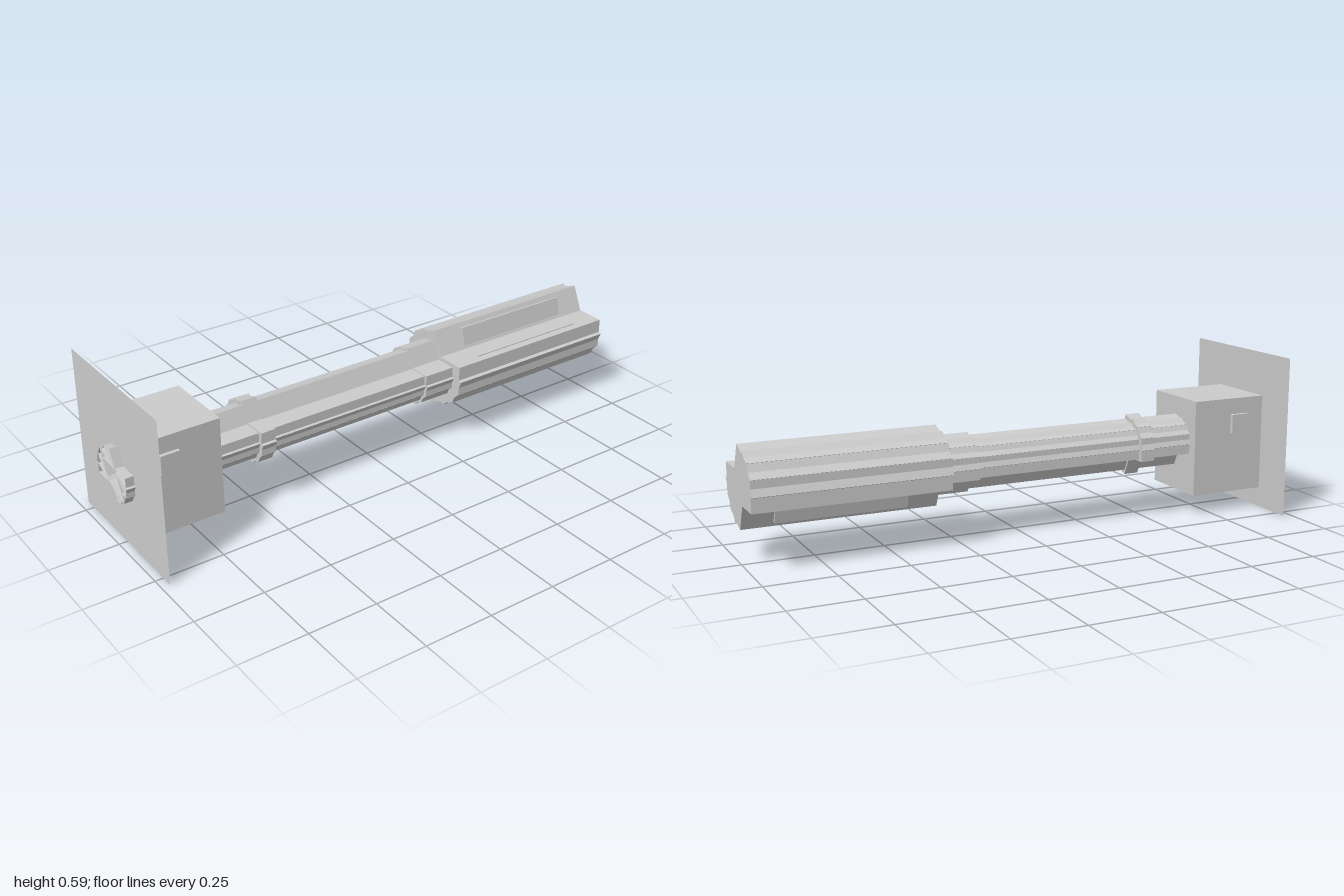
import * as THREE from 'three';

const AXIS_X = -0.003;
const AXIS_Y = 0.265;

export function createModel() {
  const model = new THREE.Group();
  const grey = new THREE.MeshStandardMaterial({ color: 0xcccccc, flatShading: true });
  grey.name = 'plain grey';
  grey.side = THREE.DoubleSide;

  function add(name, geometry, x, y, z, parent = model) {
    const mesh = new THREE.Mesh(geometry, grey);
    mesh.name = name;
    mesh.position.set(x, y, z);
    parent.add(mesh);
    return mesh;
  }

  // Fan of four crossed slabs: fluted all round except for two opposite notches
  function addFan(name, scale, z0, z1, open = false) {
    const fan = new THREE.Group();
    fan.name = name;
    fan.position.set(AXIS_X, AXIS_Y, (z0 + z1) / 2);
    fan.scale.x = 1.11;
    for (let i = 0; i < 4; i++) {
      const slab = new THREE.BoxGeometry(0.268 * scale, 0.11 * scale, z1 - z0);
      // an open fan keeps only the four long sides of each slab
      if (open) slab.setIndex(Array.from(slab.index.array).slice(0, 24));
      add(name + 'Slab', slab, 0, 0, 0, fan).rotation.z = -i * Math.PI / 8;
    }
    model.add(fan);
  }
  addFan('shaft', 0.67, -0.32, 1, true);
  addFan('ringCollar', 0.785, 0.455, 0.51);
  addFan('headCollar', 0.74, -0.32, -0.185);
  addFan('head', 1, -1, -0.305);

  // Long ribs lying in both notches of the head
  for (const turn of [0, Math.PI]) {
    const ribs = new THREE.Group();
    ribs.name = turn ? 'lowerRibs' : 'upperRibs';
    ribs.position.set(AXIS_X, AXIS_Y, -0.655);
    ribs.rotation.z = turn;
    add('wallRib', new THREE.BoxGeometry(0.03, 0.07, 0.47), 0.0134, 0.094, 0, ribs).rotation.z = 0.24;
    add('floorRib', new THREE.BoxGeometry(0.016, 0.008, 0.47), 0.11, 0.054, 0, ribs);
    model.add(ribs);
  }

  // Block with a small button on each side
  add('block', new THREE.BoxGeometry(0.272, 0.355, 0.295), AXIS_X, 0.252, 0.82);
  for (const side of [-1, 1]) {
    add(side > 0 ? 'leftButton' : 'rightButton',
      new THREE.BoxGeometry(0.03, 0.07, 0.07), AXIS_X + side * 0.135, 0.335, 0.862);
  }

  // Square sheet against the front of the block, with the open shaft passing through
  add('frontSheet', new THREE.PlaneGeometry(0.588, 0.591), 0, 0.2955, 0.97);

  return model;
}
